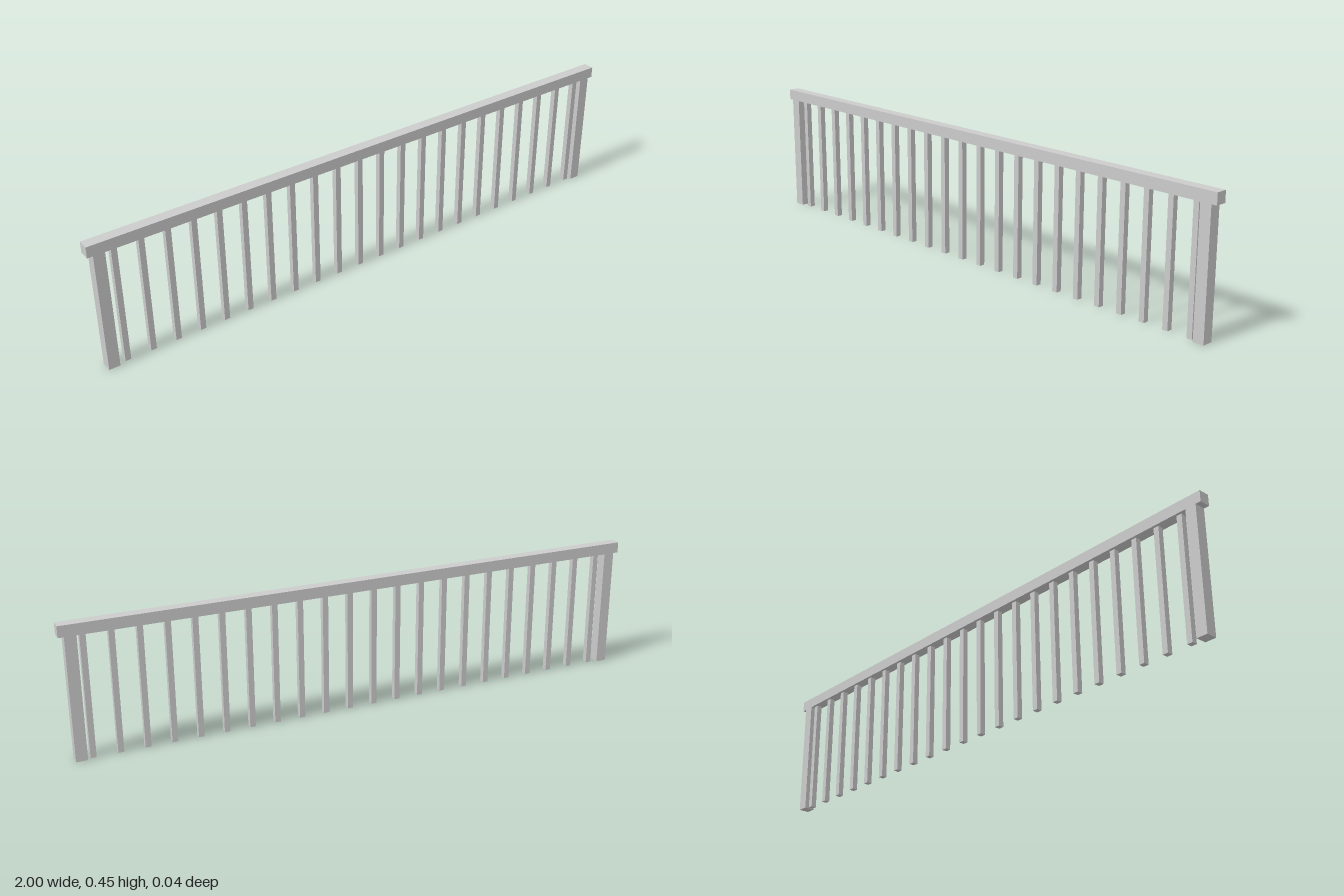
import * as THREE from 'three';

export function createModel() {
  const group = new THREE.Group();
  const grey = new THREE.MeshStandardMaterial({ name: 'railing light grey', color: 0xcccccc });

  const addBox = (name, w, h, d, x, y) => {
    const mesh = new THREE.Mesh(new THREE.BoxGeometry(w, h, d), grey);
    mesh.name = name;
    mesh.position.set(x, y + h / 2, 0);
    group.add(mesh);
  };

  const railBottom = 0.414;
  const thick = 0.0375;

  // Top rail
  addBox('topRail', 2, thick, thick, 0, railBottom);

  // End posts
  addBox('leftPost', thick, railBottom, thick, 0.963, 0);
  addBox('rightPost', thick, railBottom, thick, -0.963, 0);

  // Evenly spaced balusters, set slightly off centre along the rail
  const count = 22;
  const first = -0.913;
  const last = 0.925;
  for (let i = 0; i < count; i++) {
    const x = first + ((last - first) * i) / (count - 1);
    addBox('baluster' + (i + 1), 0.019, railBottom, 0.019, x, 0);
  }

  return group;
}
